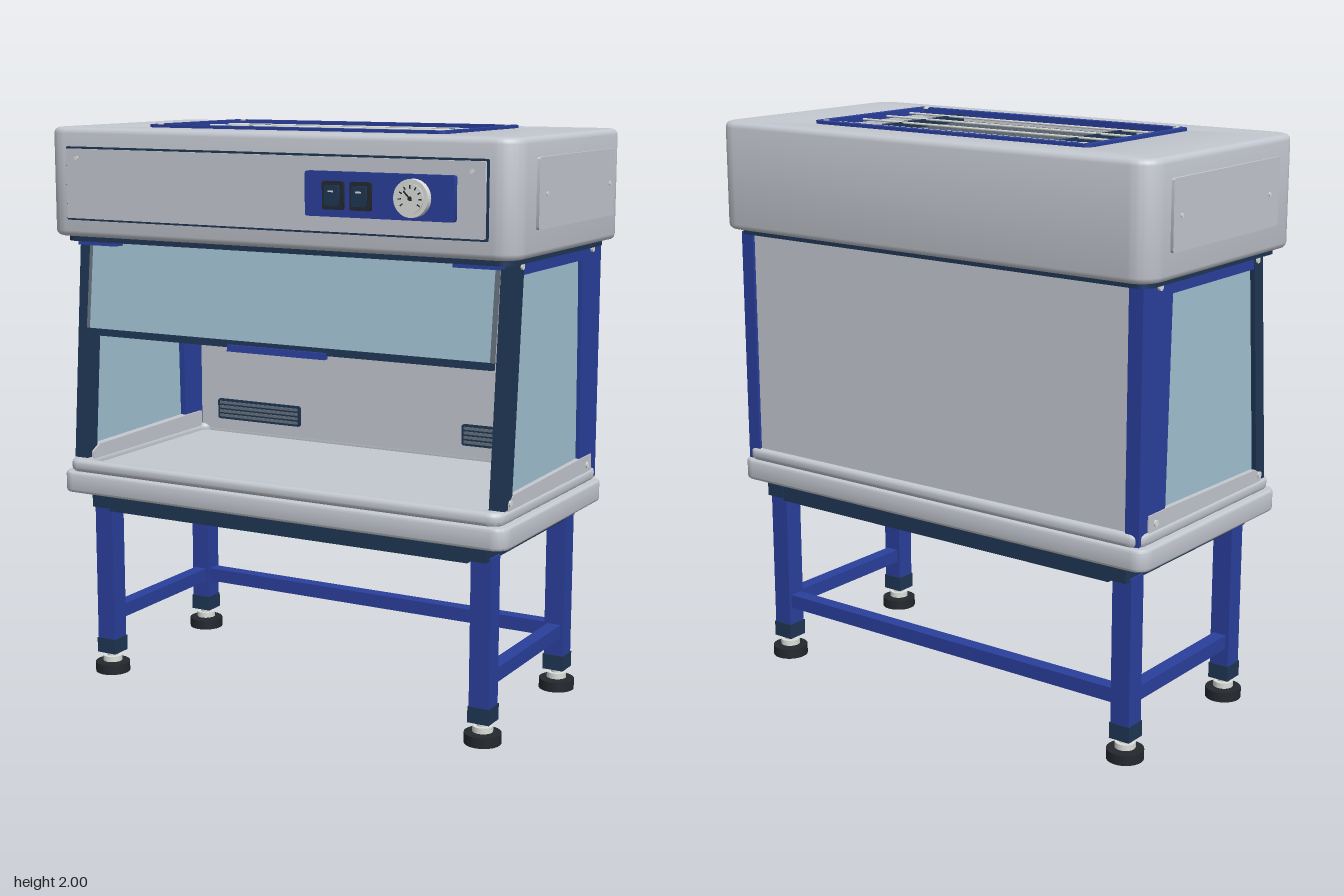
import * as THREE from 'three';
import { toCreasedNormals } from 'three/addons/utils/BufferGeometryUtils.js';

const mat = (name, color, side = THREE.FrontSide) => {
  const m = new THREE.MeshStandardMaterial({ color, side });
  m.name = name;
  return m;
};

export function createModel() {
  const root = new THREE.Group();
  root.name = 'laminarFlowCabinet';
  const grey = mat('lightGrey', 0xc4c8d0), blue = mat('frameBlue', 0x2a3f9c);
  const navy = mat('darkNavy', 0x1f3654), glass = mat('paleBlueGlass', 0xa2c2d2, THREE.DoubleSide);
  const black = mat('rubberBlack', 0x24282d), white = mat('offWhite', 0xdcdfdc);
  const pleat = mat('filterGrey', 0x66727e);

  const add = (name, geo, m) => {
    const mesh = new THREE.Mesh(geo, m);
    mesh.name = name;
    root.add(mesh);
    return mesh;
  };
  // Box given by its limits on each axis
  const box = (name, m, x0, x1, y0, y1, z0, z1) =>
    add(name, new THREE.BoxGeometry(x1 - x0, y1 - y0, z1 - z0)
      .translate((x0 + x1) / 2, (y0 + y1) / 2, (z0 + z1) / 2), m);
  const roundRect = (P, x0, x1, y0, y1, r) => {
    const s = new P();
    s.moveTo(x0 + r, y0).lineTo(x1 - r, y0).absarc(x1 - r, y0 + r, r, -Math.PI / 2, 0);
    s.lineTo(x1, y1 - r).absarc(x1 - r, y1 - r, r, 0, Math.PI / 2);
    s.lineTo(x0 + r, y1).absarc(x0 + r, y1 - r, r, Math.PI / 2, Math.PI);
    s.lineTo(x0, y0 + r).absarc(x0 + r, y0 + r, r, Math.PI, Math.PI * 1.5);
    return s;
  };
  // Horizontal rounded slab, optionally with an opening [halfX, z0, z1, radius]
  const slab = (name, m, hx, z0, z1, y0, y1, r, b, hole) => {
    const s = roundRect(THREE.Shape, -hx, hx, -z1, -z0, r);
    if (hole) s.holes.push(roundRect(THREE.Path, -hole[0], hole[0], -hole[2], -hole[1], hole[3]));
    const g = new THREE.ExtrudeGeometry(s, {
      depth: y1 - y0 - 2 * b, bevelEnabled: b > 0, bevelSize: b, bevelThickness: b,
      bevelOffset: -b, bevelSegments: 3, curveSegments: 8,
    });
    g.rotateX(-Math.PI / 2).translate(0, y0 + b, 0);
    return add(name, toCreasedNormals(g, 0.6), m);
  };
  // Upright rounded plate facing +z
  const plate = (name, m, x0, x1, y0, y1, z0, z1, r) =>
    add(name, toCreasedNormals(new THREE.ExtrudeGeometry(roundRect(THREE.Shape, x0, x1, y0, y1, r),
      { depth: z1 - z0, bevelEnabled: false, curveSegments: 4 }).translate(0, 0, z0), 0.6), m);
  // Side profile of [z, y] points extruded across x
  const profile = (name, m, pts, x0, x1) =>
    add(name, new THREE.ExtrudeGeometry(new THREE.Shape(pts.map(p => new THREE.Vector2(...p))),
      { depth: x1 - x0, bevelEnabled: false }).rotateY(-Math.PI / 2).translate(x1, 0, 0), m);
  // Discs along the y, x or z axis
  const disc = (name, m, r, h, x, y, z, axis = 'y', sides = 24) => {
    const g = new THREE.CylinderGeometry(r, r, h, sides);
    if (axis === 'x') g.rotateZ(Math.PI / 2);
    if (axis === 'z') g.rotateX(Math.PI / 2);
    return add(name, g.translate(x, y, z), m);
  };

  // Stand: legs with levelling feet
  for (const x of [-0.75, 0.75]) {
    for (const z of [0.28, -0.35]) {
      box('leg', blue, x - 0.036, x + 0.036, 0.12, 0.64, z - 0.036, z + 0.036);
      box('legCap', navy, x - 0.039, x + 0.039, 0.075, 0.13, z - 0.039, z + 0.039);
      disc('footStem', white, 0.02, 0.05, x, 0.06, z);
      disc('footCollar', white, 0.035, 0.02, x, 0.05, z);
      disc('foot', black, 0.063, 0.036, x, 0.018, z);
    }
    box('sideStretcher', blue, x - 0.025, x + 0.025, 0.195, 0.245, -0.32, 0.25);
    const s = Math.sign(x);
    box('underframeSide', navy, s > 0 ? 0.71 : -0.78, s > 0 ? 0.78 : -0.71, 0.63, 0.69, -0.41, 0.34);
  }
  box('rearStretcher', blue, -0.72, 0.72, 0.195, 0.245, -0.375, -0.325);
  box('underframeFront', navy, -0.71, 0.71, 0.62, 0.69, 0.27, 0.335);
  box('underframeRear', navy, -0.71, 0.71, 0.62, 0.69, -0.405, -0.34);
  for (const x of [-0.25, 0.25]) box('underframeBar', white, x - 0.012, x + 0.012, 0.67, 0.69, -0.34, 0.27);

  // Work table with raised rim
  slab('tableBase', grey, 0.87, -0.45, 0.405, 0.69, 0.765, 0.05, 0.01);
  slab('tableRim', grey, 0.85, -0.445, 0.395, 0.765, 0.81, 0.05, 0.015, [0.78, -0.4, 0.35, 0.03]);
  box('workSurface', grey, -0.79, 0.79, 0.76, 0.785, -0.41, 0.36);

  // Back wall with two slotted vents
  box('backWall', grey, -0.795, 0.795, 0.79, 1.6, -0.425, -0.4);
  for (const x of [-0.525, 0.525]) {
    plate('ventFrame', navy, x - 0.185, x + 0.185, 0.838, 0.917, -0.4, -0.392, 0.01);
    for (let i = 0; i < 4; i++) {
      const y = 0.852 + i * 0.017;
      box('ventSlat', pleat, x - 0.175, x + 0.175, y - 0.005, y + 0.005, -0.393, -0.388);
    }
  }

  // Side walls: posts, rails, glazing and screws
  for (const s of [-1, 1]) {
    const side = (name, m, pts, a, b) => profile(name, m, pts, Math.min(s * a, s * b), Math.max(s * a, s * b));
    side('frontPost', navy, [[0.35, 0.81], [0.285, 1.6], [0.23, 1.6], [0.295, 0.81]], 0.79, 0.845);
    side('rearPost', blue, [[-0.285, 0.8], [-0.265, 1.6], [-0.435, 1.6], [-0.435, 0.77]], 0.79, 0.842);
    side('topRail', blue, [[0.27, 1.553], [0.267, 1.6], [-0.3, 1.6], [-0.3, 1.553]], 0.79, 0.842);
    side('bottomRail', grey, [[0.325, 0.8], [0.325, 0.83], [0.285, 0.852], [-0.285, 0.862],
      [-0.385, 0.862], [-0.385, 0.8]], 0.782, 0.846);
    side('sideGlass', glass, [[0.296, 0.84], [0.237, 1.56], [-0.262, 1.56], [-0.29, 0.84]], 0.812, 0.828);
    for (const [z, y] of [[0.25, 1.582], [-0.345, 1.585], [0.31, 0.83], [-0.345, 0.83]])
      disc('screw', white, 0.011, 0.012, s * 0.845, y, z, 'x', 12);

    // Hood access panel on each end
    const end = plate('endPanel', grey, -0.32, 0.32, 1.7, 1.925, 0, 0.01, 0.008);
    end.rotation.y = s * Math.PI / 2;
    end.position.set(s * 0.896, 0, -0.055);
    for (const z of [0.205, -0.33]) disc('panelScrew', white, 0.007, 0.012, s * 0.904, 1.81, z, 'x', 10);
  }

  // Sliding front sash
  const sashZ = y => 0.295 + (1.6 - y) * 0.105;
  const sash = (name, m, y0, y1, x0, x1, back, front) => profile(name, m,
    [[sashZ(y0) + back, y0], [sashZ(y0) + front, y0], [sashZ(y1) + front, y1], [sashZ(y1) + back, y1]], x0, x1);
  sash('sashGlass', glass, 1.27, 1.6, -0.785, 0.785, -0.005, 0.005);
  sash('sashRail', navy, 1.258, 1.282, -0.79, 0.79, -0.01, 0.01);
  sash('sashHandle', blue, 1.246, 1.268, -0.19, 0.19, 0, 0.023);
  for (const s of [-1, 1]) {
    const x = s * 0.785;
    sash('sashEdge', pleat, 1.28, 1.59, x - 0.006, x + 0.006, -0.007, 0.007);
    sash('sashBracket', blue, 1.578, 1.598, s * 0.73 - 0.08, s * 0.73 + 0.08, 0, 0.05);
  }

  // Hood with an open filter well in the top
  slab('hoodBase', navy, 0.858, -0.44, 0.365, 1.592, 1.625, 0.05, 0);
  slab('hood', grey, 0.895, -0.488, 0.41, 1.612, 1.988, 0.08, 0.02, [0.555, -0.325, 0.235, 0.02]);
  slab('filterFrame', blue, 0.575, -0.342, 0.25, 1.975, 1.998, 0.03, 0, [0.547, -0.312, 0.222, 0.01]);
  box('filterBed', pleat, -0.57, 0.57, 1.7, 1.95, -0.34, 0.25);

  // Filter pleats, dividers and guard wires
  const pleats = 54;
  for (let i = 0; i < pleats; i++) {
    const x = -0.547 + (i + 0.5) * 1.094 / pleats;
    const g = new THREE.CylinderGeometry(0.009, 0.009, 0.56, 3).rotateX(Math.PI / 2);
    add('filterPleat', g.translate(x, 1.955, -0.045), pleat);
    if (i % 2) box('pleatGap', navy, x - 0.0125, x - 0.0075, 1.945, 1.957, -0.32, 0.23);
  }
  for (const x of [-0.37, 0.37]) box('filterDivider', navy, x - 0.006, x + 0.006, 1.95, 1.985, -0.32, 0.23);
  for (const z of [-0.235, -0.11, 0.018, 0.145])
    add('guardWire', new THREE.CylinderGeometry(0.004, 0.004, 1.1, 8).rotateZ(Math.PI / 2)
      .translate(0, 1.984, z), white);
  for (const x of [-0.535, 0.535]) for (const z of [-0.315, 0.225])
    disc('filterScrew', white, 0.011, 0.006, x, 1.997, z, 'y', 12);

  // Front fascia and control panel
  plate('fasciaGasket', navy, -0.802, 0.802, 1.671, 1.924, 0.405, 0.416, 0.006);
  plate('fascia', grey, -0.795, 0.795, 1.678, 1.917, 0.41, 0.425, 0.004);
  for (const x of [-0.75, 0.75]) disc('fasciaScrew', white, 0.008, 0.008, x, 1.885, 0.425, 'z', 10);
  plate('controlPanel', blue, 0.17, 0.7, 1.728, 1.872, 0.42, 0.445, 0.008);
  for (const x of [0.277, 0.377]) {
    plate('switchBezel', black, x - 0.038, x + 0.038, 1.752, 1.842, 0.44, 0.456, 0.008);
    plate('switchRocker', navy, x - 0.026, x + 0.026, 1.765, 1.83, 0.45, 0.467, 0.004);
    box('switchMark', white, x - 0.01, x + 0.01, 1.808, 1.813, 0.466, 0.469);
  }

  // Pressure gauge
  const gx = 0.57, gy = 1.8;
  disc('gaugeBase', navy, 0.05, 0.03, gx, gy, 0.455, 'z', 32);
  disc('gaugeBody', white, 0.06, 0.024, gx, gy, 0.474, 'z', 32);
  disc('gaugeFace', white, 0.046, 0.006, gx, gy, 0.487, 'z', 32);
  for (let i = 0; i < 9; i++) {
    const a = -0.6 + i * (Math.PI + 1.2) / 8;
    const tick = add('gaugeTick', new THREE.BoxGeometry(0.011, 0.004, 0.003), black);
    tick.position.set(gx + 0.036 * Math.cos(a), gy + 0.036 * Math.sin(a), 0.4895);
    tick.rotation.z = a;
  }
  const needle = add('gaugeNeedle', new THREE.BoxGeometry(0.04, 0.005, 0.002), black);
  needle.position.set(gx - 0.008, gy + 0.008, 0.49);
  needle.rotation.z = -Math.PI / 4;
  disc('gaugeHub', black, 0.007, 0.003, gx, gy, 0.49, 'z', 12);

  return root;
}
